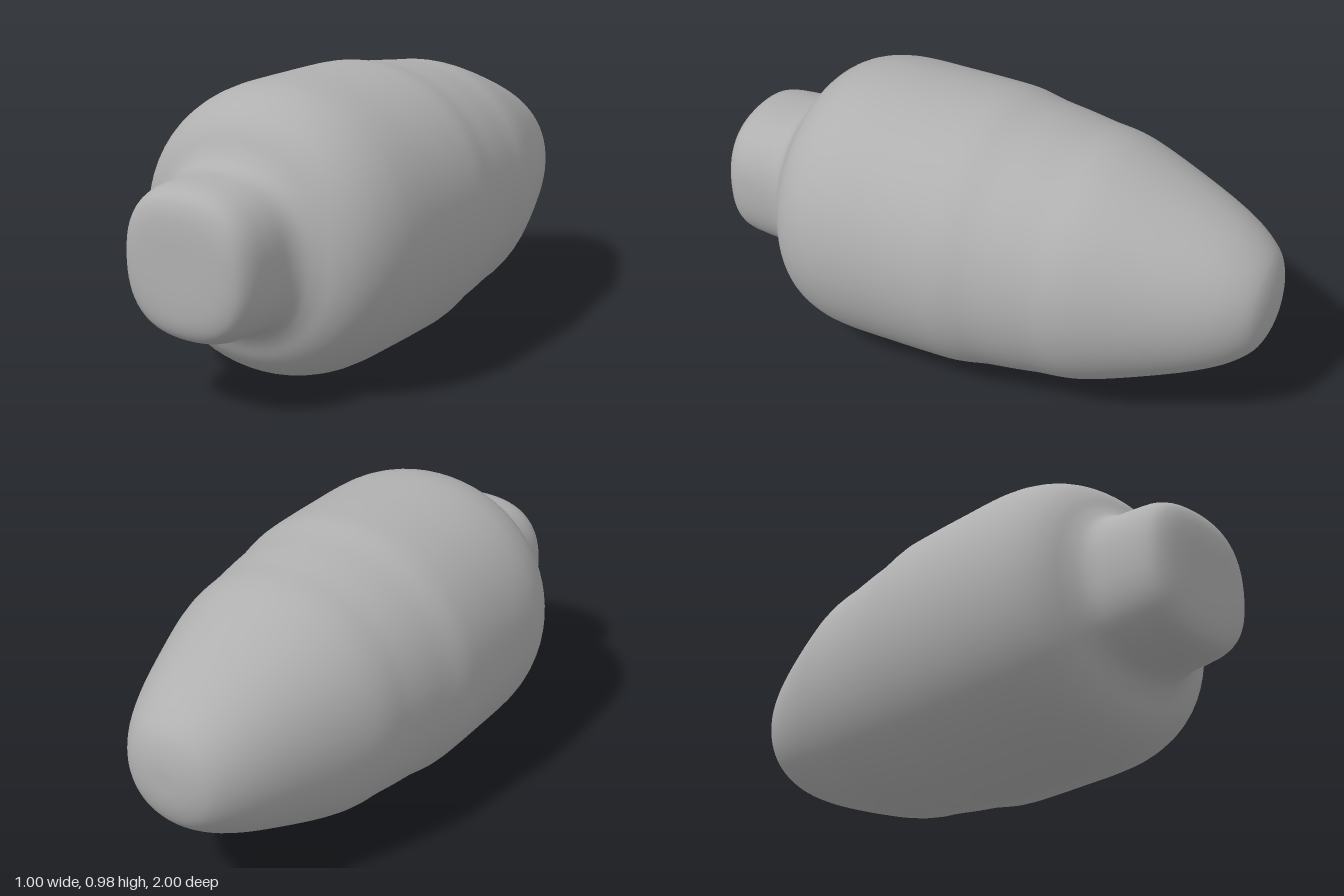
import * as THREE from 'three';
import { mergeVertices } from 'three/addons/utils/BufferGeometryUtils.js';

// Outline from the rounded tail tip to the flat front cap: [z, radius]
const PROFILE = [
  [-1, 0], [-0.998, 0.06], [-0.985, 0.12], [-0.96, 0.17], [-0.9, 0.225], [-0.8, 0.283],
  [-0.6, 0.367], [-0.45, 0.42], [-0.38, 0.436], [-0.3, 0.445], [-0.2, 0.46], [-0.1, 0.473],
  [0, 0.492], [0.1, 0.496], [0.25, 0.497], [0.42, 0.496], [0.5, 0.487], [0.58, 0.462],
  [0.64, 0.424], [0.68, 0.378], [0.71, 0.322], [0.74, 0.282], [0.78, 0.261], [0.85, 0.255],
  [0.93, 0.245], [0.97, 0.223], [0.99, 0.185], [0.999, 0.12], [1, 0],
];

export function createModel() {
  const group = new THREE.Group();
  const gray = new THREE.MeshStandardMaterial({ color: 0xb0b0b0 });
  gray.name = 'plain gray';

  const curve = new THREE.CatmullRomCurve3(
    PROFILE.map(([z, r]) => new THREE.Vector3(r, z, 0)), false, 'centripetal');
  const outline = curve.getPoints(112).map(
    (p) => new THREE.Vector2(Math.max(p.x, 0), THREE.MathUtils.clamp(p.y, -1, 1)));

  let geometry = new THREE.LatheGeometry(outline, 64);
  geometry.rotateX(Math.PI / 2);

  // Square off the neck slightly and flatten the body a little in height
  const pos = geometry.attributes.position;
  for (let i = 0; i < pos.count; i++) {
    const x = pos.getX(i), y = pos.getY(i), z = pos.getZ(i);
    const neck = THREE.MathUtils.smoothstep(z, 0.68, 0.8);
    const diagonal = (1 - Math.cos(4 * Math.atan2(y, x))) / 2;
    const bulge = 1 + diagonal * (0.012 + 0.055 * neck);
    const height = THREE.MathUtils.lerp(0.987, 1, neck);
    pos.setXYZ(i, x * bulge, y * bulge * height, z);
  }

  // Weld the seam so the surface is smooth all round
  geometry.deleteAttribute('uv');
  geometry.deleteAttribute('normal');
  geometry = mergeVertices(geometry, 1e-5);
  geometry.computeVertexNormals();
  geometry.computeBoundingBox();
  geometry.translate(0, -geometry.boundingBox.min.y, 0);

  const body = new THREE.Mesh(geometry, gray);
  body.name = 'bulbBody';
  group.add(body);
  return group;
}
